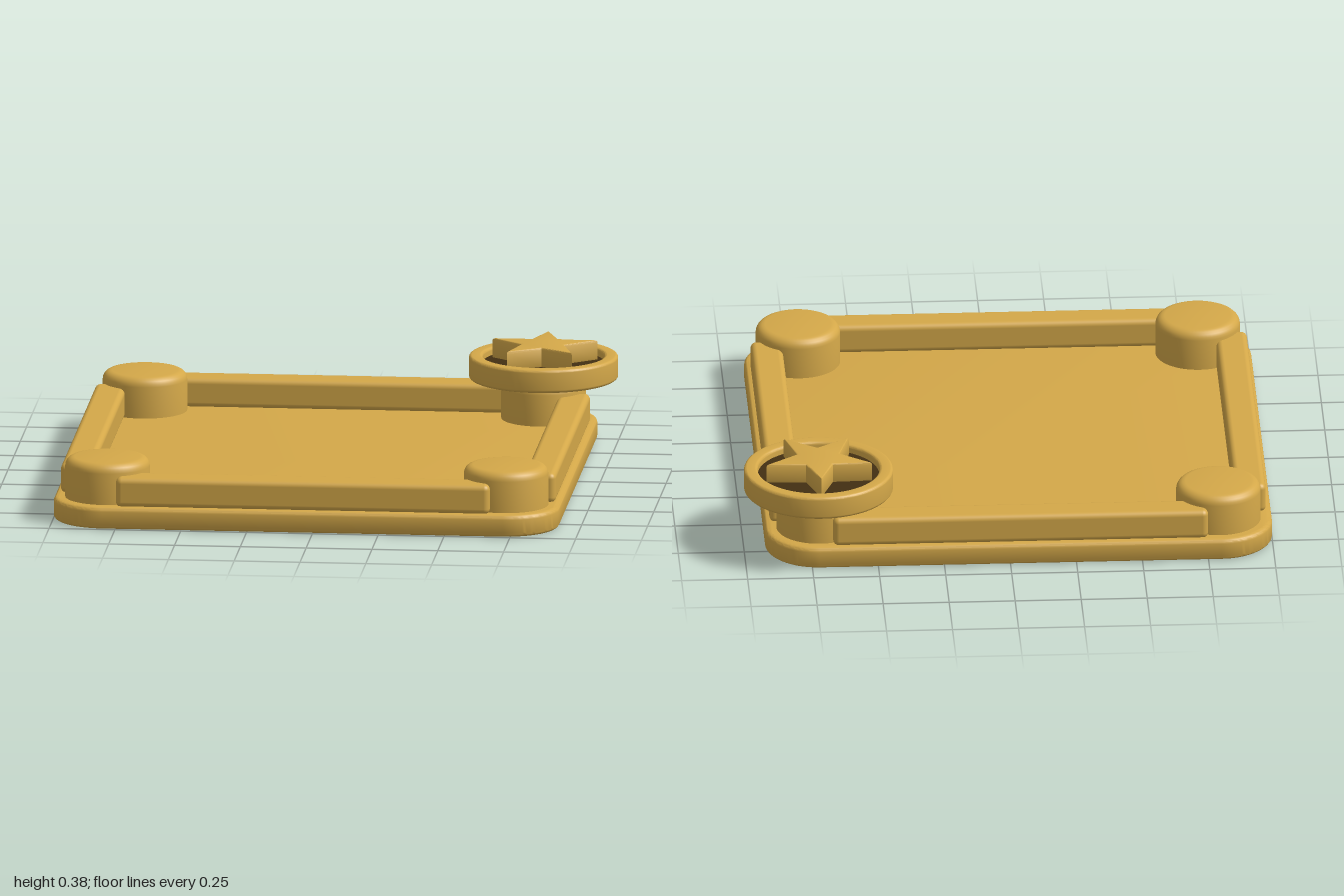
import * as THREE from 'three';
import { toCreasedNormals } from 'three/addons/utils/BufferGeometryUtils.js';
import { RoundedBoxGeometry } from 'three/addons/geometries/RoundedBoxGeometry.js';

const gold = new THREE.MeshStandardMaterial({ color: 0xd4a849 });
gold.name = 'gold';
const darkBrown = new THREE.MeshStandardMaterial({ color: 0x422f12 });
darkBrown.name = 'dark brown';

const CENTER = 0.04;   // the tray sits off centre because the medallion overhangs
const POST = 0.757;    // corner post offset from the tray centre

function add(parent, name, geometry, material, x = 0, y = 0, z = 0) {
  const mesh = new THREE.Mesh(geometry, material);
  mesh.name = name;
  mesh.position.set(x, y, z);
  parent.add(mesh);
  return mesh;
}

// Extrudes a plan shape upwards from y = 0 to height, with rounded edges.
function slab(shape, height, bevel) {
  const g = new THREE.ExtrudeGeometry(shape, {
    depth: height - 2 * bevel, bevelThickness: bevel, bevelSize: bevel,
    bevelOffset: -bevel, bevelSegments: 4, curveSegments: 16,
  });
  g.translate(0, 0, bevel).rotateX(-Math.PI / 2);
  return toCreasedNormals(g, 0.6);
}

function roundedSquare(h, r) {
  const s = new THREE.Shape();
  [[1, 1], [-1, 1], [-1, -1], [1, -1]].forEach(([sx, sy], i) => {
    s.absarc(sx * (h - r), sy * (h - r), r, i * Math.PI / 2, (i + 1) * Math.PI / 2);
  });
  s.closePath();
  return s;
}

function star(outer, inner) {
  const pts = [];
  for (let i = 0; i < 10; i++) {
    const a = Math.PI / 2 + i * Math.PI / 5, r = i % 2 ? inner : outer;
    pts.push(new THREE.Vector2(r * Math.cos(a), r * Math.sin(a)));
  }
  return new THREE.Shape(pts);
}

// Quarter-round profile points around (cx, cy), starting at angle a.
function quarter(cx, cy, r, a) {
  return Array.from({ length: 6 }, (_, i) => {
    const t = a + i / 5 * Math.PI / 2;
    return new THREE.Vector2(cx + r * Math.cos(t), cy + r * Math.sin(t));
  });
}

function lathe(points) {
  return toCreasedNormals(new THREE.LatheGeometry(points, 64), 0.6);
}

export function createModel() {
  const model = new THREE.Group();
  model.name = 'squareTray';

  const tray = new THREE.Group();
  tray.name = 'tray';
  tray.position.set(-CENTER, 0, CENTER);
  model.add(tray);
  add(tray, 'base', slab(roundedSquare(0.96, 0.2), 0.085, 0.018), gold);

  // Four rails along the edges
  const railGeo = new RoundedBoxGeometry(1.42, 0.115, 0.12, 4, 0.022);
  ['frontRail', 'leftRail', 'backRail', 'rightRail'].forEach((name, i) => {
    const a = i * Math.PI / 2;
    add(tray, name, railGeo, gold, Math.sin(a) * 0.88, 0.1375, Math.cos(a) * 0.88).rotation.y = a;
  });

  // Four corner posts with rounded tops
  const postGeo = lathe([
    new THREE.Vector2(0, 0.07), new THREE.Vector2(0.16, 0.07),
    ...quarter(0.125, 0.205, 0.035, 0), new THREE.Vector2(0, 0.24),
  ]);
  for (const x of [-POST, POST]) for (const z of [-POST, POST]) {
    add(tray, (z > 0 ? 'front' : 'back') + (x > 0 ? 'Left' : 'Right') + 'Post', postGeo, gold, x, 0, z);
  }

  // Star medallion on the back left post
  const medallion = new THREE.Group();
  medallion.name = 'medallion';
  medallion.position.set(POST - CENTER, 0, CENTER - POST);
  model.add(medallion);
  const b = 0.012, lo = 0.24, hi = 0.33, ro = 0.2825, ri = 0.23;
  const rim = [
    ...quarter(ro - b, lo + b, b, -Math.PI / 2), ...quarter(ro - b, hi - b, b, 0),
    ...quarter(ri + b, hi - b, b, Math.PI / 2), ...quarter(ri + b, lo + b, b, Math.PI),
  ];
  add(medallion, 'medallionRim', lathe(rim), gold);
  add(medallion, 'medallionDisc', new THREE.CylinderGeometry(0.235, 0.235, 0.06, 64), darkBrown, 0, 0.27, 0);
  add(medallion, 'star', slab(star(0.21, 0.088), 0.08, 0.009), gold, 0, 0.295, 0);

  return model;
}
